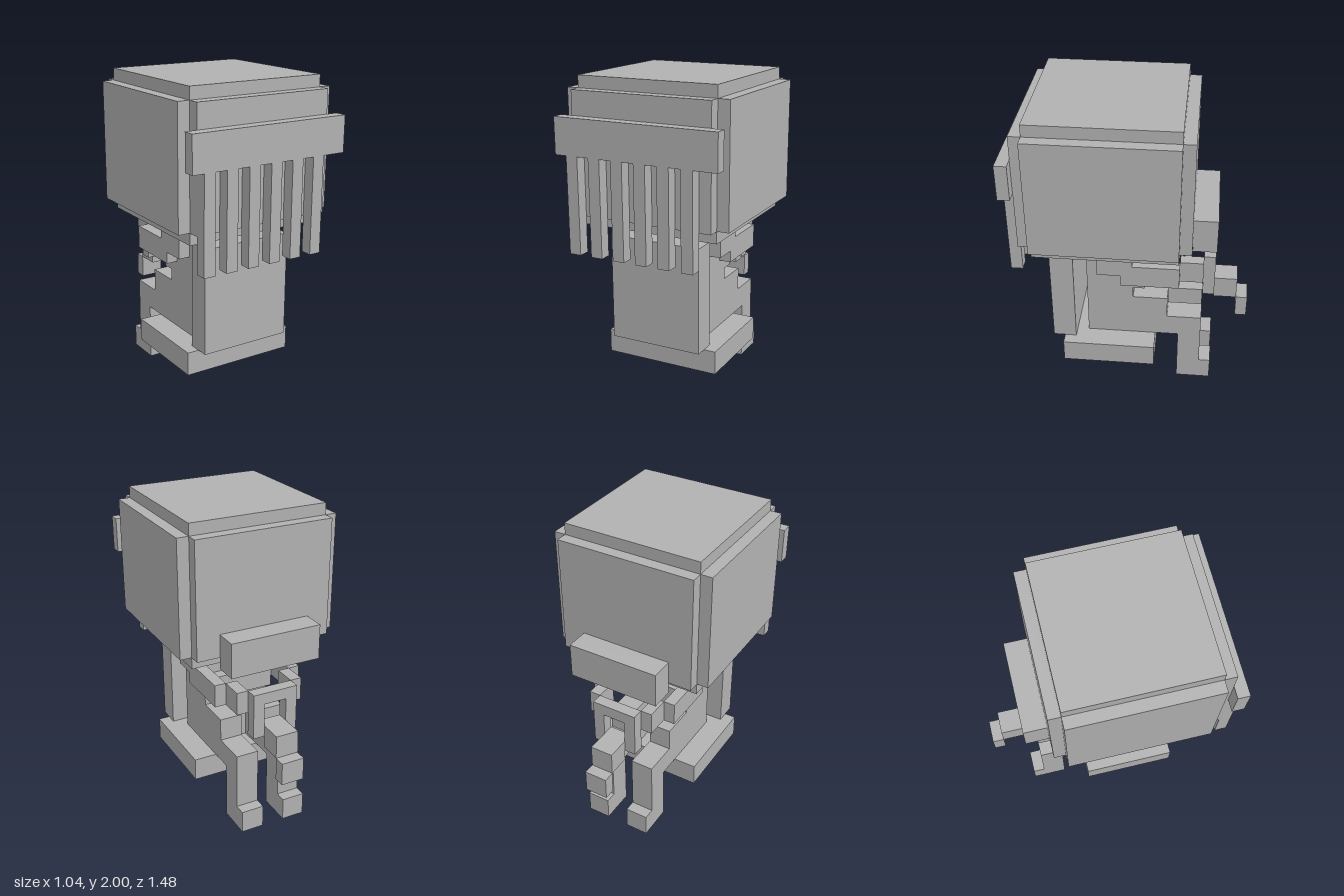
import * as THREE from 'three';

const U = 2 / 27; // one block

export function createModel() {
  const model = new THREE.Group();
  model.name = 'blockFigure';
  const grey = new THREE.MeshStandardMaterial({ color: 0xb2b2b2 });
  grey.name = 'grey';

  // Box between two corners, given in blocks
  function block(name, x0, x1, y0, y1, z0, z1) {
    const geometry = new THREE.BoxGeometry((x1 - x0) * U, (y1 - y0) * U, (z1 - z0) * U);
    const mesh = new THREE.Mesh(geometry, grey);
    mesh.position.set((x0 + x1) / 2 * U, (y0 + y1) / 2 * U, (z0 + z1) / 2 * U);
    mesh.name = name;
    model.add(mesh);
  }
  // Same box on both sides of x = 0
  function pair(name, x0, x1, ...rest) {
    block(name + 'Left', x0, x1, ...rest);
    block(name + 'Right', -x1, -x0, ...rest);
  }

  // Head with raised side plates
  block('headCore', -6, 6, 15, 27, -4, 8);
  pair('headSide', 6, 7, 16, 26, -4, 8);
  block('headFront', -6, 6, 16, 26, 8, 9);
  block('headBack', -6, 6, 16, 26, -5, -4);
  block('muzzle', -4, 4, 15, 18, -7, -5);

  // Comb of hanging strands
  block('strandBar', -7, 7, 21, 24, 9, 10);
  for (let x = -6; x <= 4; x += 2) block('strand', x, x + 1, 13, 21, 9, 10);

  // Neck, torso and chest
  block('neck', -1, 1, 14, 15, 1, 3);
  block('torso', -3, 3, 5, 14, 0, 4);
  block('chest', -3, 3, 10, 12, -1, 0);

  // Seat and its backrest
  block('seat', -5, 5, 3, 5, -2, 6);
  block('backrest', -4, 4, 5, 14, 5, 7);

  // Arms
  pair('shoulder', 3, 4, 12, 14, 1, 3);
  pair('upperArm', 3, 4, 12, 14, 0, 1);
  pair('forearm', 3, 4, 11, 13, -4, 1);
  pair('hand', 2, 3, 11, 13, -6, -4);

  // Held strap with two hanging links
  block('strapTop', -2, 2, 12, 13, -7, -6);
  pair('strapSide', 1, 2, 9, 12, -7, -6);
  block('strapBottom', -1, 1, 9, 10, -7, -6);
  block('upperLink', -1, 1, 8, 10, -9, -7);
  block('lowerLink', -1, 1, 6, 8, -10, -9);

  // Legs
  pair('thigh', 1, 3, 5, 9, -3, 0);
  pair('knee', 1, 3, 5, 7, -6, -3);
  pair('shin', 1, 3, 0, 5, -6, -4);
  pair('toe', 1, 3, 0, 2, -7, -6);

  return model;
}
